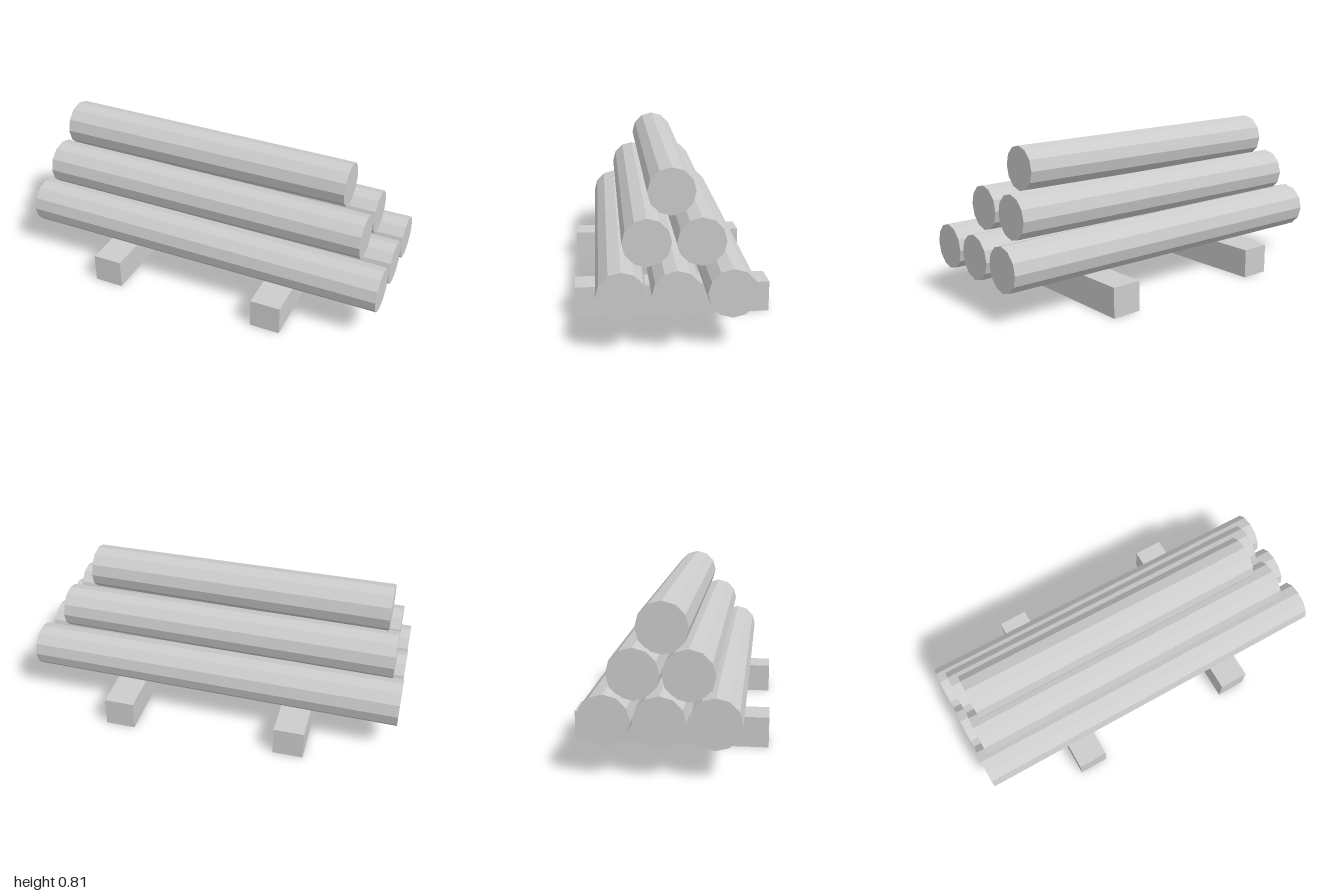
import * as THREE from 'three';

export function createModel() {
  const group = new THREE.Group();
  group.name = 'logPile';
  const grey = new THREE.MeshStandardMaterial({ color: 0xcccccc, flatShading: true });
  grey.name = 'plain grey';

  // Two square bearers running front to back
  for (const side of [-1, 1]) {
    const beam = new THREE.Mesh(new THREE.BoxGeometry(0.16, 0.157, 0.98), grey);
    beam.name = side > 0 ? 'leftBearer' : 'rightBearer';
    beam.position.set(side * 0.465, 0.0785, 0);
    group.add(beam);
  }

  // Twelve-sided logs, thinner at +x and slightly turned, in rows of 3, 2 and 1
  const buttRadius = 0.123, tipRadius = 0.115, drift = 0.025;
  const rows = [
    { name: 'bottomLog', y: 0.277, x0: -0.999, x1: 0.999, z: [0.251, 0, -0.252] },
    { name: 'middleLog', y: 0.48, x0: -0.945, x1: 0.864, z: [0.127, -0.126] },
    { name: 'topLog', y: 0.683, x0: -0.89, x1: 0.73, z: [0] },
  ];
  for (const { name, y, x0, x1, z } of rows) {
    const length = x1 - x0;
    z.forEach((zButt, i) => {
      const geometry = new THREE.CylinderGeometry(tipRadius, buttRadius, length, 12);
      geometry.rotateZ(-Math.PI / 2);
      const log = new THREE.Mesh(geometry, grey);
      log.name = name + (i + 1);
      log.position.set((x0 + x1) / 2, y, zButt + drift / 2);
      log.rotation.y = -Math.atan2(drift, length);
      group.add(log);
    });
  }
  return group;
}
